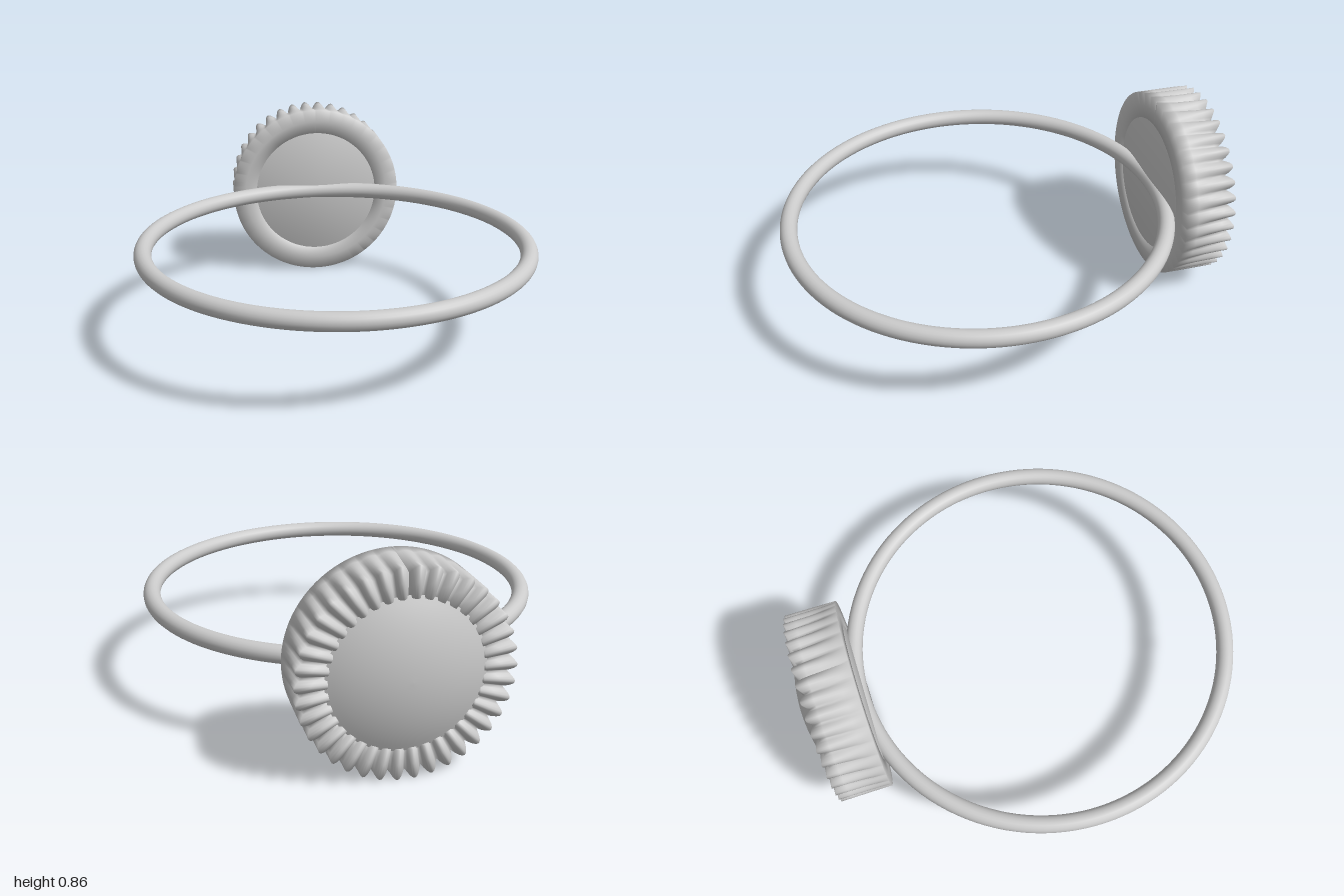
import * as THREE from 'three';

const CENTER_Y = 0.432;
const RIDGES = 38;

const material = new THREE.MeshStandardMaterial({ color: 0xcccccc, side: THREE.DoubleSide });

// Lathe a [radius, depth] profile around the z axis; depth runs toward the back (-z)
function lathe(profile, segments) {
  return new THREE.LatheGeometry(profile.map(([r, d]) => new THREE.Vector2(r, d)), segments);
}

function addPart(group, name, geometry) {
  const mesh = new THREE.Mesh(geometry, material);
  mesh.name = name;
  group.add(mesh);
  return mesh;
}

// Collar: plain at the front, fluted toward the back edge and over the back face
function collarGeometry() {
  const front = 0.715, back = 0.945;
  const geometry = lathe([
    [0.31, 0.8], [0.31, front], [0.37, front], [0.431, front], [0.432, 0.77], [0.432, 0.83],
    [0.432, 0.89], [0.432, back], [0.37, back], [0.305, back], [0.3, 0.9],
  ], RIDGES * 8);
  const pos = geometry.attributes.position;
  for (let i = 0; i < pos.count; i++) {
    const x = pos.getX(i), z = pos.getZ(i), depth = pos.getY(i);
    const r = Math.hypot(x, z);
    const angle = Math.atan2(x, z);
    // Rounded ridges separated by sharp valleys
    const valley = 1 - Math.abs(Math.sin(angle * RIDGES / 2));
    const fade = Math.max(0, (depth - front) / (back - front));
    if (r > 0.36) {
      const k = (r - 0.036 * fade * valley) / r;
      pos.setX(i, x * k);
      pos.setZ(i, z * k);
    }
    if (depth > 0.94) pos.setY(i, depth - 0.028 * valley);
  }
  geometry.computeVertexNormals();
  return geometry;
}

export function createModel() {
  const group = new THREE.Group();
  group.name = 'ring';

  // Finger band lying flat
  const band = addPart(group, 'band', new THREE.TorusGeometry(0.847, 0.038, 20, 128));
  band.rotation.x = Math.PI / 2;
  band.position.set(0, CENTER_Y, 0.115);

  // Round ornament facing backward
  const ornament = new THREE.Group();
  ornament.name = 'ornament';
  ornament.rotation.x = -Math.PI / 2;
  ornament.position.y = CENTER_Y;
  group.add(ornament);

  addPart(ornament, 'collar', collarGeometry());

  // Flat inner plate with soft shading at its edge
  addPart(ornament, 'innerPlate', lathe([[0, 0.712], [0.312, 0.712], [0.312, 0.8]], 96));

  // Shallow domed face
  const R = 0.72, dome = [];
  for (let i = 0; i <= 10; i++) {
    const r = 0.315 * (1 - i / 10);
    dome.push([r, 1 - R + Math.sqrt(R * R - r * r)]);
  }
  addPart(ornament, 'domedFace', lathe(dome, 96));

  return group;
}
